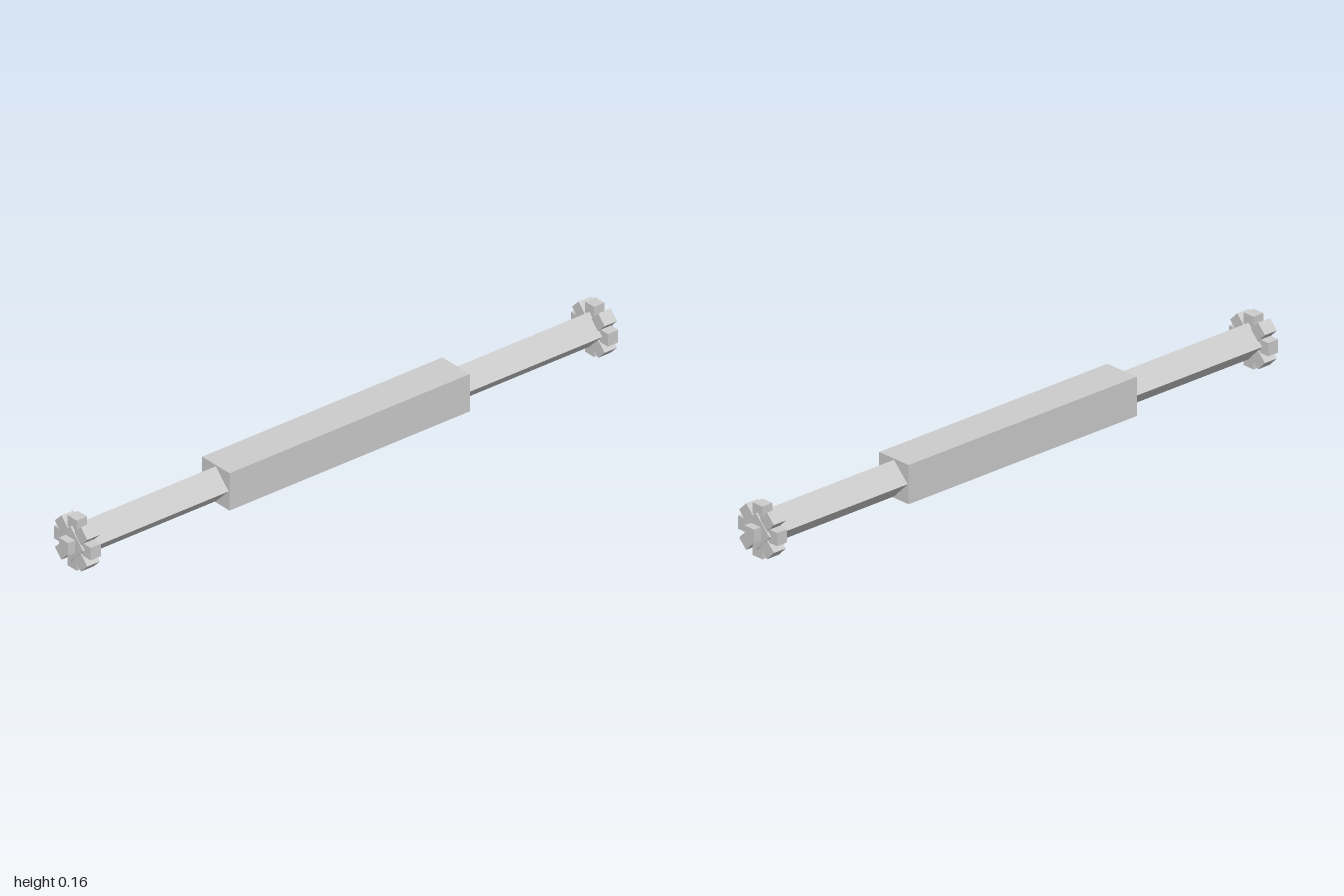
import * as THREE from 'three';

export function createModel() {
  const model = new THREE.Group();
  model.name = 'geared bar';
  const material = new THREE.MeshStandardMaterial({ color: 0xcccccc, flatShading: true });
  const R = 0.082; // gear radius, also the height of the axis
  const W = 0.041; // tooth and peg width

  // Box centred on the long axis, turned about it by angle
  function bar(parent, name, x, length, height, depth, angle = 0) {
    const mesh = new THREE.Mesh(new THREE.BoxGeometry(length, height, depth), material);
    mesh.name = name;
    mesh.position.set(x, R, 0);
    mesh.rotation.x = angle;
    parent.add(mesh);
  }

  // Square central sleeve
  bar(model, 'centralSleeve', 0, 0.882, 0.122, 0.122);

  for (const side of [1, -1]) {
    const end = new THREE.Group();
    end.name = side > 0 ? 'leftEnd' : 'rightEnd';
    model.add(end);

    // Diamond-section rod running out through the gear
    const side45 = 0.057 * Math.SQRT2;
    bar(end, 'rod', side * 0.697, 0.555, side45, side45, Math.PI / 4);

    // Four crossed bars make eight gear teeth
    for (let i = 0; i < 4; i++) {
      bar(end, 'gearTeeth', side * 0.949, i % 2 ? 0.046 : 0.038, 2 * R, W, i * Math.PI / 4);
    }

    // Square axle peg
    bar(end, 'axlePeg', side * 0.96, 0.08, W, W);
  }
  return model;
}
